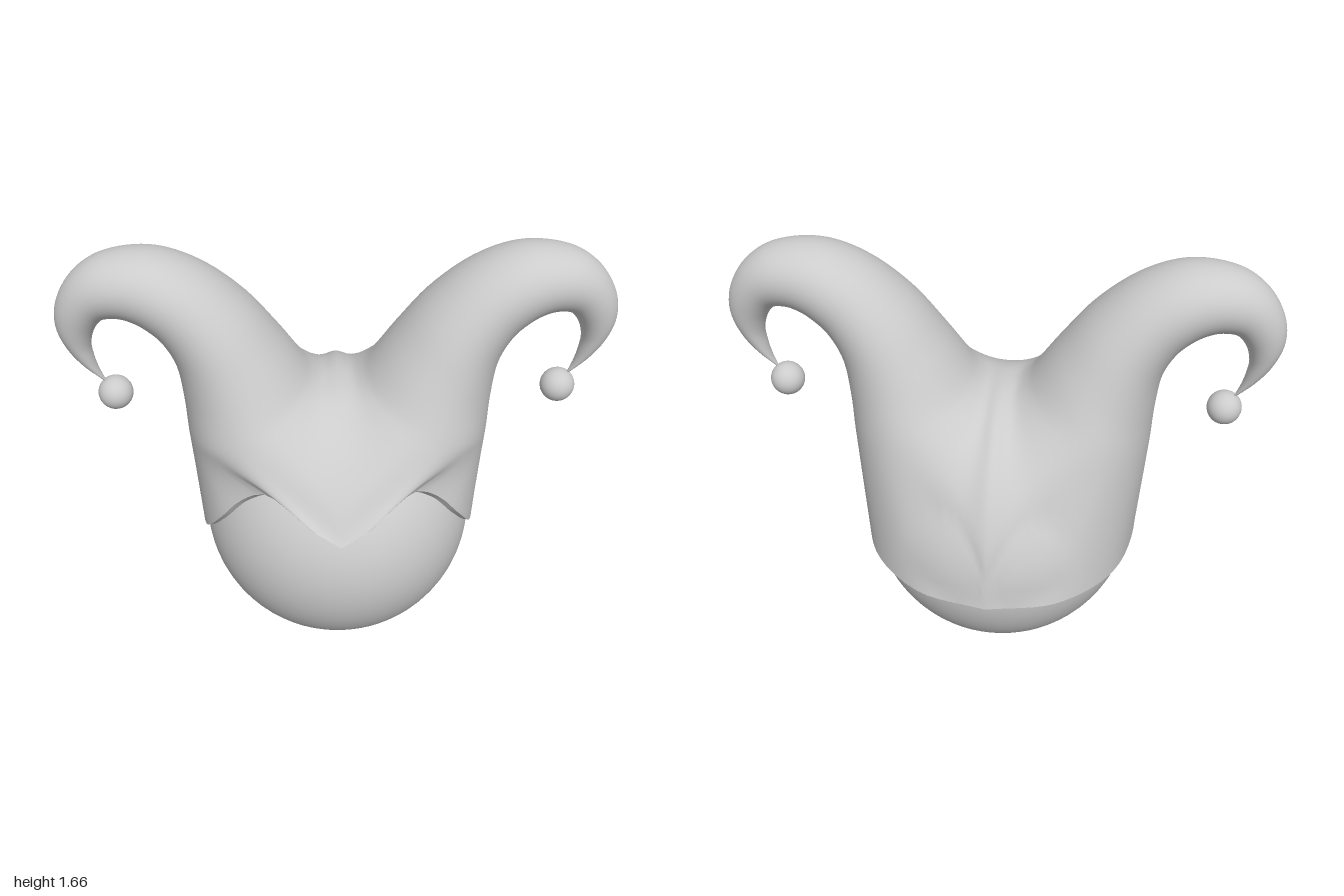
import * as THREE from 'three';
import { mergeVertices } from 'three/addons/utils/BufferGeometryUtils.js';

const V = (x, y, z) => new THREE.Vector3(x, y, z);
const HEAD = V(0, 0.55, 0.015), HEAD_R = 0.515, CLEAR = 0.532;
const COLS = 72, HALF = COLS / 2;

// Brim of the left half, from front point over the arch to the back
const brim = new THREE.CatmullRomCurve3([
  V(0, 0.75, 0.512), V(0.1, 0.81, 0.49), V(0.2, 0.873, 0.425), V(0.275, 0.885, 0.365), V(0.36, 0.825, 0.325),
  V(0.443, 0.71, 0.285), V(0.507, 0.58, 0.18), V(0.53, 0.515, 0), V(0.46, 0.5, -0.27), V(0.26, 0.5, -0.465), V(0, 0.5, -0.53),
]);
// Centre line of the hat, from the back over the saddle to the front point
const seam = new THREE.CatmullRomCurve3([
  V(0, 0.5, -0.53), V(0, 0.76, -0.49), V(0, 0.96, -0.39), V(0, 1.09, -0.25), V(0, 1.15, -0.1),
  V(0, 1.16, 0.02), V(0, 1.14, 0.15), V(0, 1.05, 0.3), V(0, 0.9, 0.43), V(0, 0.75, 0.512),
]);
// Horn sections: upper edge x, y; lower edge x, y; half depth
const sections = [
  [0.1, 1.19, 0.56, 0.95, 0.31], [0.2, 1.335, 0.567, 1.1, 0.255], [0.31, 1.48, 0.585, 1.25, 0.215],
  [0.443, 1.6, 0.63, 1.35, 0.185], [0.577, 1.67, 0.69, 1.41, 0.165], [0.7, 1.69, 0.745, 1.437, 0.145],
  [0.83, 1.666, 0.79, 1.44, 0.125], [0.924, 1.6, 0.83, 1.426, 0.105], [0.983, 1.505, 0.867, 1.375, 0.086],
  [1.0, 1.41, 0.885, 1.31, 0.068], [0.977, 1.32, 0.88, 1.25, 0.05], [0.93, 1.24, 0.868, 1.2, 0.03],
  [0.86, 1.155, 0.85, 1.155, 0.005],
];
const knots = [0, ...sections.map((_, i) => i + 3)];

// Control points of one column, running from the brim or seam to the horn tip
function column(j) {
  const start = j <= HALF ? brim.getPointAt(j / HALF) : seam.getPointAt((j - HALF) / HALF);
  const a = (j / COLS) * Math.PI * 2;
  return [start, ...sections.map(([ux, uy, lx, ly, d]) => V(
    (ux + lx) / 2 + Math.sin(a) * (lx - ux) / 2,
    (uy + ly) / 2 + Math.sin(a) * (ly - uy) / 2,
    0.015 + Math.cos(a) * d))];
}

// Smooth samples along a column, kept outside the head
function sampleColumn(j) {
  const p = column(j), out = [], last = p.length - 1;
  const slope = p.map((_, i) => {
    const a = Math.max(i - 1, 0), b = Math.min(i + 1, last);
    return p[b].clone().sub(p[a]).divideScalar(knots[b] - knots[a]);
  });
  // Columns leave the centre line sideways so both halves join smoothly
  if (j > HALF) {
    const w = THREE.MathUtils.smoothstep(Math.sin(((j - HALF) / HALF) * Math.PI), 0, 0.6);
    slope[0].lerp(V(p[1].x / 3, 0, 0), w);
  }
  for (let i = 0; i < last; i++) {
    const h = knots[i + 1] - knots[i], steps = i === 0 ? 14 : 5;
    for (let k = 0; k < steps + (i === last - 1 ? 1 : 0); k++) {
      const t = k / steps, t2 = t * t, t3 = t2 * t;
      const q = V(0, 0, 0)
        .addScaledVector(p[i], 2 * t3 - 3 * t2 + 1).addScaledVector(slope[i], h * (t3 - 2 * t2 + t))
        .addScaledVector(p[i + 1], 3 * t2 - 2 * t3).addScaledVector(slope[i + 1], h * (t3 - t2));
      const r = q.distanceTo(HEAD);
      if (r < CLEAR) q.sub(HEAD).multiplyScalar(CLEAR / r).add(HEAD);
      out.push(q);
    }
  }
  return out;
}

function hatGeometry() {
  const cols = Array.from({ length: COLS }, (_, j) => sampleColumn(j));
  const rows = cols[0].length, pos = [], index = [];
  for (const side of [1, -1]) {
    const base = pos.length / 3;
    for (let i = 0; i < rows; i++) for (const c of cols) pos.push(side * c[i].x, c[i].y, c[i].z);
    for (let i = 0; i < rows - 1; i++) for (let j = 0; j < COLS; j++) {
      const a = base + i * COLS + j, b = base + i * COLS + (j + 1) % COLS, c = b + COLS, d = a + COLS;
      if (side > 0) index.push(a, b, c, a, c, d);
      else index.push(a, c, b, a, d, c);
    }
  }
  const g = new THREE.BufferGeometry();
  g.setAttribute('position', new THREE.Float32BufferAttribute(pos, 3));
  g.setIndex(index);
  const merged = mergeVertices(g, 1e-4);
  merged.computeVertexNormals();
  return merged;
}

// Narrow strip closing the gap between brim and head
function brimEdgeGeometry() {
  const pos = [], index = [];
  for (let j = 0; j <= COLS * 2; j++) {
    const u = j / COLS, p = brim.getPointAt(u <= 1 ? u : 2 - u);
    if (u > 1) p.x *= -1;
    const q = p.clone().sub(HEAD).setLength(HEAD_R - 0.01).add(HEAD);
    pos.push(p.x, p.y, p.z, q.x, q.y, q.z);
    if (j) index.push(2 * j - 2, 2 * j - 1, 2 * j, 2 * j, 2 * j - 1, 2 * j + 1);
  }
  const g = new THREE.BufferGeometry();
  g.setAttribute('position', new THREE.Float32BufferAttribute(pos, 3));
  g.setIndex(index);
  g.computeVertexNormals();
  return g;
}

export function createModel() {
  const model = new THREE.Group();
  const grey = new THREE.MeshStandardMaterial({ color: 0xcccccc });
  const thin = new THREE.MeshStandardMaterial({ color: 0xcccccc, side: THREE.DoubleSide });
  const add = (name, geometry, material, position) => {
    const mesh = new THREE.Mesh(geometry, material);
    mesh.name = name;
    if (position) mesh.position.copy(position);
    model.add(mesh);
  };

  add('head', new THREE.SphereGeometry(HEAD_R, 64, 40), grey, HEAD);
  add('hornedHat', hatGeometry(), thin);
  add('brimEdge', brimEdgeGeometry(), thin);

  // Bells at the horn tips
  const bell = new THREE.SphereGeometry(0.064, 28, 18);
  add('leftBell', bell, grey, V(0.82, 1.1, 0.015));
  add('rightBell', bell, grey, V(-0.82, 1.1, 0.015));
  return model;
}
